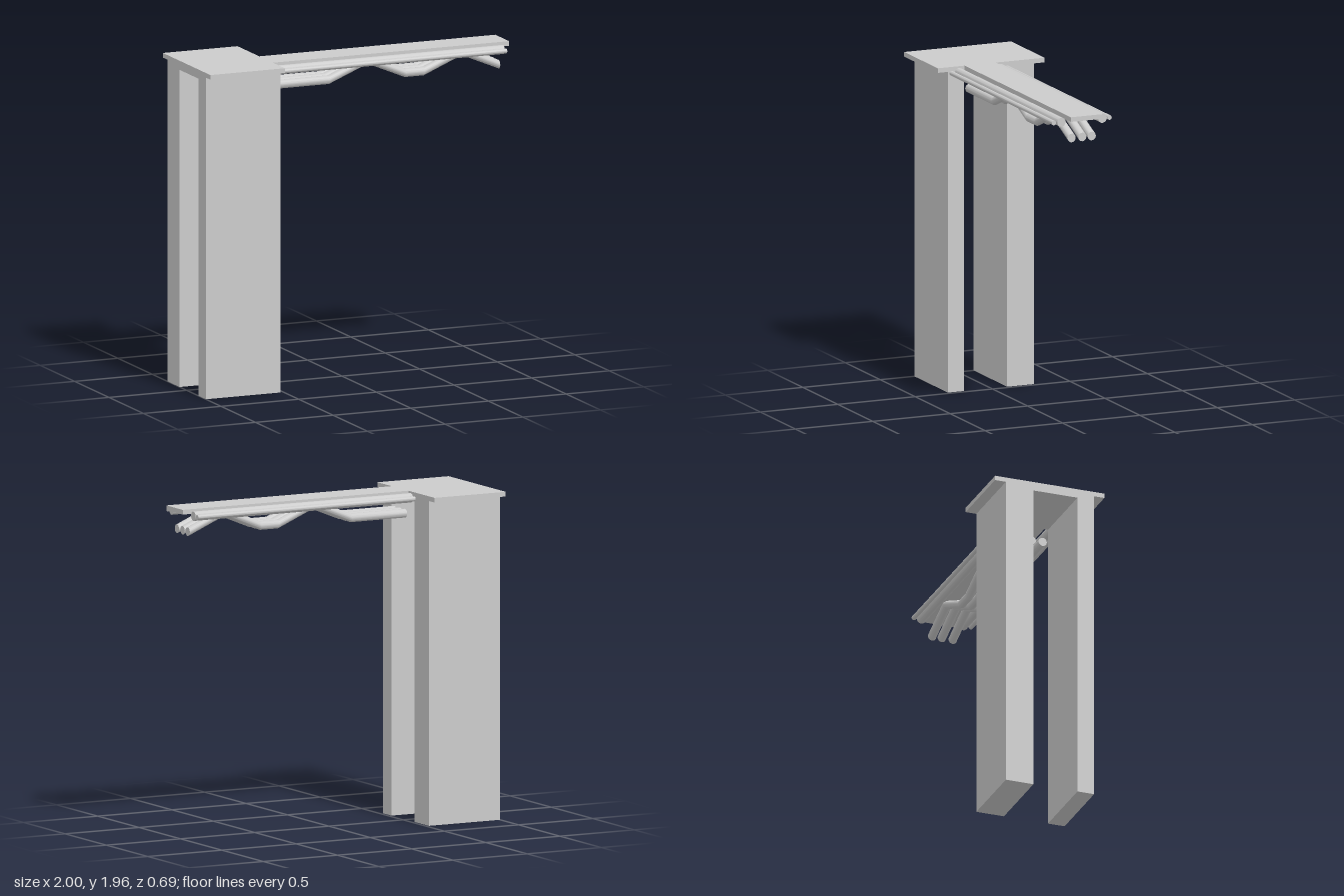
import * as THREE from 'three';
import { toCreasedNormals } from 'three/addons/utils/BufferGeometryUtils.js';

const material = new THREE.MeshStandardMaterial({ color: 0xcccccc });

export function createModel() {
  const model = new THREE.Group();

  const add = (name, geometry) => {
    const mesh = new THREE.Mesh(geometry, material);
    mesh.name = name;
    model.add(mesh);
    return mesh;
  };

  // Box given by its extents on each axis
  const box = (name, [x0, x1], [y0, y1], [z0, z1]) =>
    add(name, new THREE.BoxGeometry(x1 - x0, y1 - y0, z1 - z0))
      .position.set((x0 + x1) / 2, (y0 + y1) / 2, (z0 + z1) / 2);

  // Round pipe along x whose cross-sections follow [x, y] points, mitred at each bend
  const pipe = (name, radius, z, path) => {
    const rows = path.length - 1;
    const geometry = new THREE.CylinderGeometry(radius, radius, rows, 24, rows);
    geometry.rotateZ(-Math.PI / 2);
    const pos = geometry.attributes.position;
    for (let i = 0; i < pos.count; i++) {
      const [x, y] = path[Math.round(pos.getX(i) + rows / 2)];
      pos.setXYZ(i, x, pos.getY(i) + y, pos.getZ(i) + z);
    }
    add(name, toCreasedNormals(geometry, 0.32));
  };

  const top = 1.963, under = 1.935;
  const towerX = [-1, -0.52];

  // Tower: two pillars, the beam between them and the cap slab
  box('frontPillar', towerX, [0, under], [0.175, 0.28]);
  box('backPillar', towerX, [0, under], [-0.277, -0.103]);
  box('lintel', towerX, [1.908, under], [-0.103, 0.175]);
  box('capSlab', towerX, [under, top], [-0.345, 0.345]);

  // Arm deck
  box('armDeck', [-0.52, 1], [under, top], [-0.028, 0.172]);

  // Straight pipes along both sides of the deck
  const straight = [[-0.52, 1.925], [0.945, 1.925]];
  pipe('frontPipe', 0.027, 0.208, straight);
  pipe('frontThinPipe', 0.014, 0.256, straight);
  pipe('backPipe', 0.028, -0.057, straight);
  pipe('backThinPipe', 0.014, -0.103, straight);

  // Hanging pipes that rise and fall beneath the deck
  const wave = [
    [-0.52, 1.824], [-0.15, 1.824], [0.1, 1.925], [0.34, 1.824],
    [0.46, 1.824], [0.705, 1.925], [0.945, 1.824],
  ];
  [0.142, 0.073, 0.012].forEach((z, i) => pipe(`hangingPipe${i + 1}`, 0.026, z, wave));

  return model;
}
